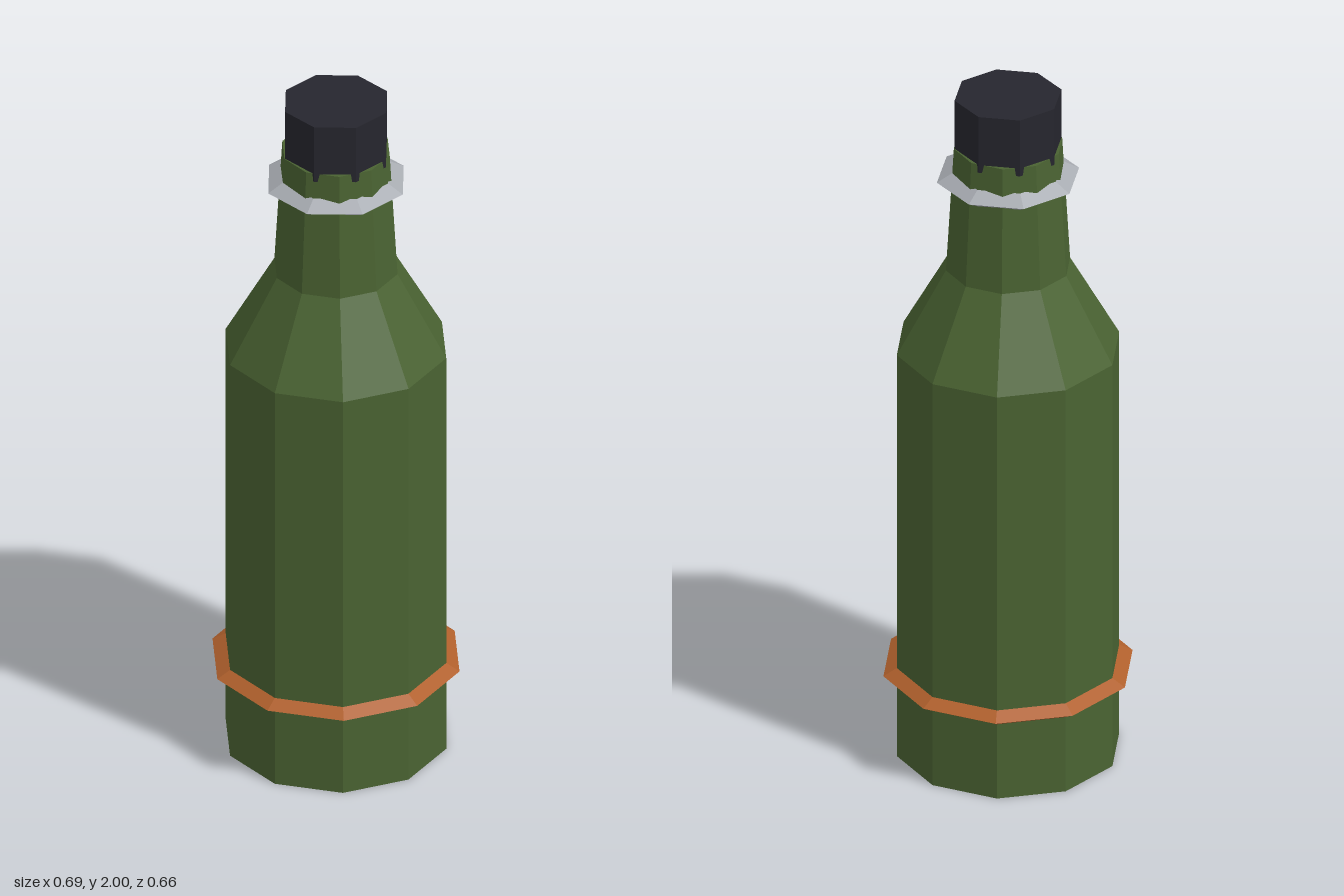
import * as THREE from 'three';

const material = (color) => new THREE.MeshStandardMaterial({ color, flatShading: true });

// Faceted ring with a triangular section whose sharp edge points outward
function makeRing(name, radius, tube, sides, y, color) {
  const geometry = new THREE.TorusGeometry(radius, tube, 3, sides);
  geometry.rotateX(-Math.PI / 2);
  const ring = new THREE.Mesh(geometry, material(color));
  ring.name = name;
  ring.position.y = y;
  return ring;
}

export function createModel() {
  const group = new THREE.Group();
  group.name = 'bottle';

  // Ten-sided glass body: base, straight wall, shoulder, tapered neck, closed mouth
  const profile = [
    [0, 0], [0.308, 0], [0.308, 1.235], [0.172, 1.48], [0.15, 1.852], [0, 1.852],
  ].map(([r, y]) => new THREE.Vector2(r, y));
  const body = new THREE.Mesh(
    new THREE.LatheGeometry(profile, 10, Math.PI / 2),
    material(0x4a6332),
  );
  body.name = 'bottleBody';
  group.add(body);

  // Eight-sided cap, overlapping the top of the neck
  const cap = new THREE.Mesh(new THREE.CylinderGeometry(0.148, 0.148, 0.172, 8), material(0x26262e));
  cap.name = 'cap';
  cap.position.y = 1.914;
  group.add(cap);

  // Metal collar on the neck and band around the lower body
  group.add(makeRing('neckRing', 0.168, 0.029, 8, 1.753, 0xa8acb2));
  group.add(makeRing('lowerBand', 0.319, 0.026, 10, 0.25, 0xb0602c));

  return group;
}
